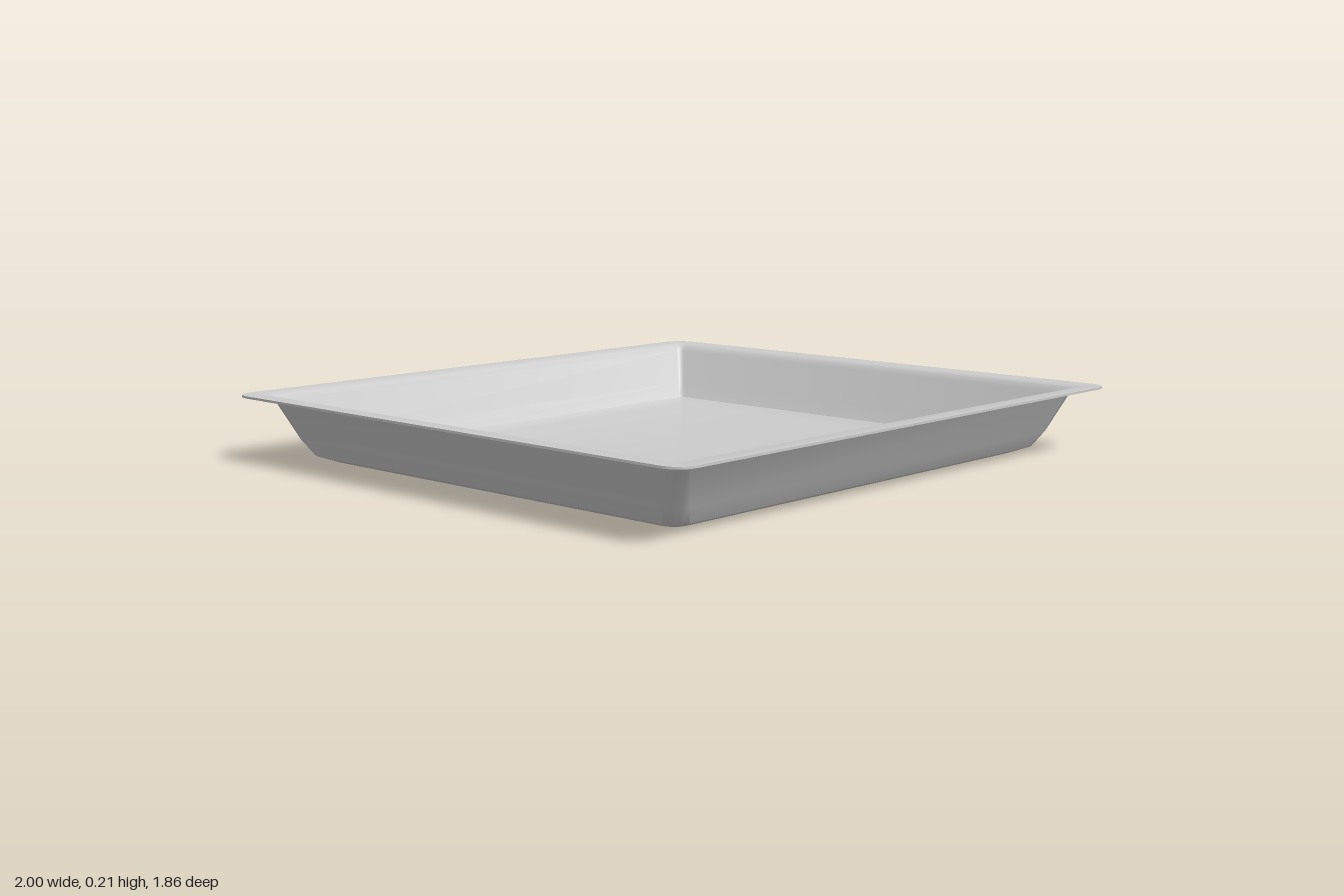
import * as THREE from 'three';
import { toCreasedNormals } from 'three/addons/utils/BufferGeometryUtils.js';

const HALF_X = 1, HALF_Z = 0.93, CORNER_STEPS = 3;

// Closed loop of points: a rounded rectangle set in from the outer edge
function ring([inset, y, radius]) {
  const points = [];
  for (let corner = 0; corner < 4; corner++) {
    const sx = corner === 0 || corner === 3 ? 1 : -1;
    const sz = corner < 2 ? 1 : -1;
    for (let i = 0; i <= CORNER_STEPS; i++) {
      const a = (corner + i / CORNER_STEPS) * Math.PI / 2;
      points.push([
        sx * (HALF_X - inset - radius) + radius * Math.cos(a), y,
        sz * (HALF_Z - inset - radius) + radius * Math.sin(a),
      ]);
    }
  }
  return points;
}

// Skin between successive loops, with a flat fan closing each end
function skin(sections) {
  const rings = sections.map(ring);
  const n = rings[0].length;
  const first = [0, sections[0][1], 0];
  const last = [0, sections[sections.length - 1][1], 0];
  const positions = [];
  const tri = (a, b, c) => positions.push(...a, ...b, ...c);
  for (let i = 0; i < n; i++) {
    const j = (i + 1) % n;
    tri(first, rings[0][j], rings[0][i]);
    for (let k = 0; k < rings.length - 1; k++) {
      const lower = rings[k], upper = rings[k + 1];
      tri(lower[i], lower[j], upper[j]);
      tri(lower[i], upper[j], upper[i]);
    }
    const end = rings[rings.length - 1];
    tri(last, end[i], end[j]);
  }
  const geometry = new THREE.BufferGeometry();
  geometry.setAttribute('position', new THREE.Float32BufferAttribute(positions, 3));
  return toCreasedNormals(geometry, THREE.MathUtils.degToRad(35));
}

export function createModel() {
  const group = new THREE.Group();
  group.name = 'tray';

  // Inset from the outer edge, height, corner radius
  const sections = [
    // inside: floor edge, curved foot, sloping wall, rolled lip
    [0.215, 0.012, 0.012],
    [0.167, 0.026, 0.014],
    [0.135, 0.072, 0.016],
    [0.085, 0.186, 0.02],
    [0.073, 0.203, 0.025],
    [0.055, 0.21, 0.035],
    // flat rim
    [0, 0.21, 0.06],
    [0, 0.203, 0.06],
    [0.06, 0.203, 0.045],
    // outside: lip, sloping wall, curved foot, base edge
    [0.077, 0.19, 0.04],
    [0.127, 0.07, 0.05],
    [0.158, 0.02, 0.05],
    [0.21, 0, 0.04],
  ];
  const material = new THREE.MeshStandardMaterial({ color: 0xcccccc });
  const shell = new THREE.Mesh(skin(sections), material);
  shell.name = 'trayShell';
  group.add(shell);
  return group;
}
